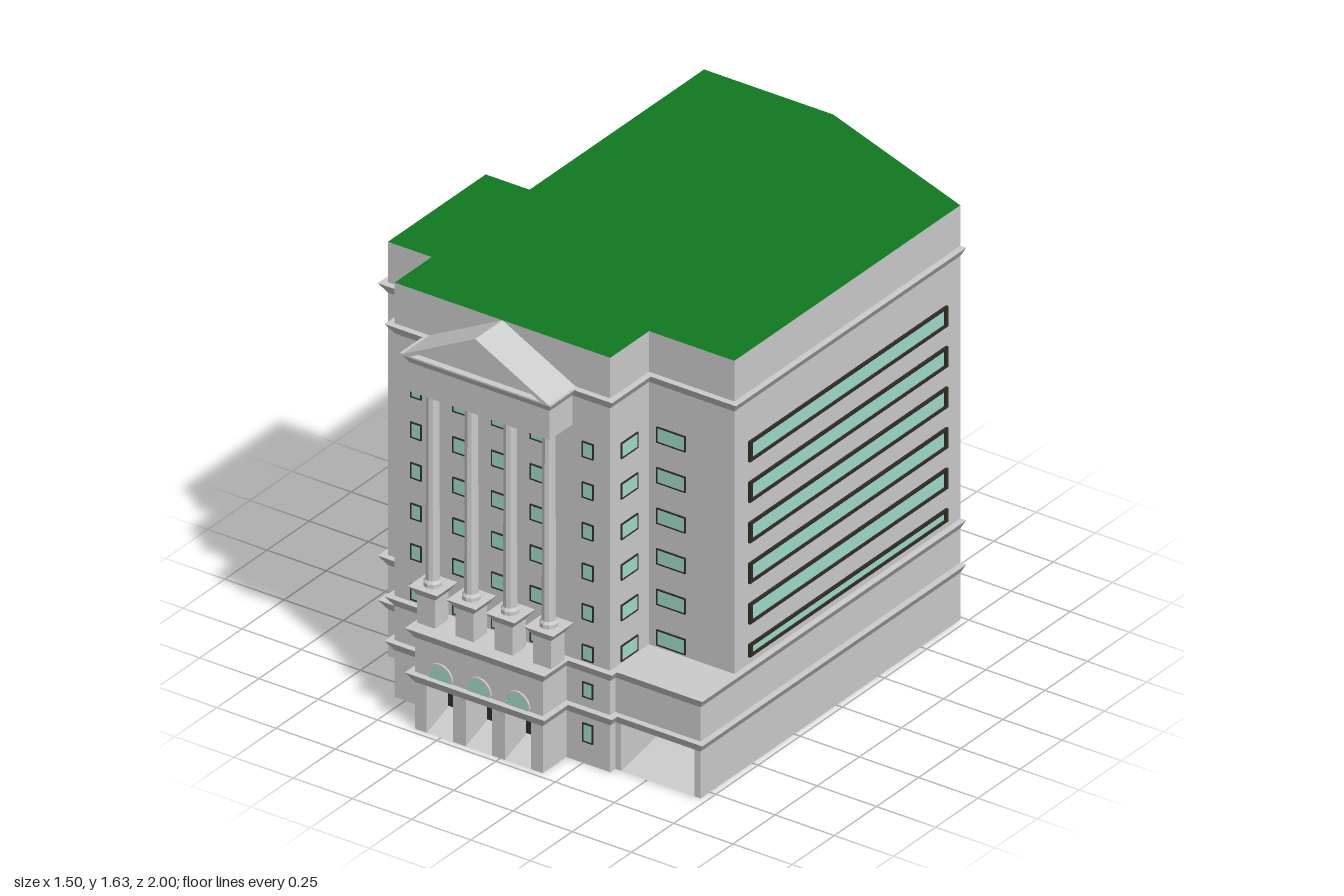
import * as THREE from 'three';

const material = (color) => new THREE.MeshStandardMaterial({ color, flatShading: true, side: THREE.DoubleSide });
const GREY = material(0xcccccc), GLASS = material(0x9fdccb), DARK = material(0x302c24), GREEN = material(0x107a1f);

// Footprints as [x, z], running from the back right corner round the front to the back left
const LEFT = [[-0.545, 0.835], [-0.545, 0.615], [-0.73, 0.615], [-0.73, 0.035], [-0.545, 0.035], [-0.545, -1]];
const BACK = [[0, -1], [0.725, -0.735]];
const UPPER = [[0.725, -0.735], [0.725, 0.605], [0.365, 0.605], [0.365, 0.835], ...LEFT];
const BASE = [[0.725, -0.735], [0.725, 0.805], [0.365, 0.805], [0.365, 0.835],
  [0.18, 0.835], [0.18, 0.975], [-0.36, 0.975], [-0.36, 0.835], ...LEFT];
const GROUND_LEFT = [[0.39, 0.805], [0.365, 0.805], [0.365, 0.835], ...LEFT, ...BACK];
const GROUND_RIGHT = [[0.725, -0.735], [0.725, 0.805], [0.7, 0.805]];

const MID_X = -0.09;
const BAYS = [-0.253, -0.09, 0.073];
const COLUMNS = [-0.335, -0.172, -0.008, 0.155];
const ROWS = [0.44, 0.6, 0.76, 0.92, 1.08, 1.24];

function add(parent, name, geometry, mat = GREY, x = 0, y = 0, z = 0) {
  const mesh = new THREE.Mesh(geometry, mat);
  mesh.name = name;
  mesh.position.set(x, y, z);
  parent.add(mesh);
  return mesh;
}

function box(parent, name, x0, x1, y0, y1, z0, z1, mat) {
  return add(parent, name, new THREE.BoxGeometry(x1 - x0, y1 - y0, z1 - z0), mat,
    (x0 + x1) / 2, (y0 + y1) / 2, (z0 + z1) / 2);
}

// Push a path outwards with mitred corners
function offset(path, d) {
  const normal = (a, b) => {
    const l = Math.hypot(b[0] - a[0], b[1] - a[1]);
    return [(b[1] - a[1]) / l, (a[0] - b[0]) / l];
  };
  return path.map((p, i) => {
    const n1 = i > 0 ? normal(path[i - 1], p) : normal(p, path[1]);
    const n2 = i < path.length - 1 ? normal(p, path[i + 1]) : n1;
    const k = d / (1 + n1[0] * n2[0] + n1[1] * n2[1]);
    return [p[0] + (n1[0] + n2[0]) * k, p[1] + (n1[1] + n2[1]) * k];
  });
}

// Strip along a path between two heights, each with its own outward offset
function band(path, y0, y1, d0 = 0, d1 = 0) {
  const low = offset(path, d0), high = offset(path, d1), pos = [];
  for (let i = 0; i < path.length - 1; i++) {
    const a = [low[i][0], y0, low[i][1]], b = [low[i + 1][0], y0, low[i + 1][1]];
    const c = [high[i + 1][0], y1, high[i + 1][1]], d = [high[i][0], y1, high[i][1]];
    pos.push(...a, ...c, ...b, ...a, ...d, ...c);
  }
  const g = new THREE.BufferGeometry();
  g.setAttribute('position', new THREE.Float32BufferAttribute(pos, 3));
  g.computeVertexNormals();
  return g;
}

function cornice(parent, path, y) {
  add(parent, 'corniceSlope', band(path, y, y + 0.04, 0, 0.025));
  add(parent, 'corniceTop', band(path, y + 0.04, y + 0.04, 0.025, 0));
}

// Flat horizontal sheet from a footprint, facing up
function sheet(points, y) {
  const shape = new THREE.Shape(points.map(([x, z]) => new THREE.Vector2(x, -z)));
  return new THREE.ShapeGeometry(shape).rotateX(-Math.PI / 2).translate(0, y, 0);
}

// Block whose footprint grows from bottom to top
function flare(w0, d0, w1, d1, h) {
  const g = new THREE.BoxGeometry(1, h, 1), p = g.attributes.position;
  for (let i = 0; i < p.count; i++) {
    const top = p.getY(i) > 0;
    p.setX(i, p.getX(i) * (top ? w1 : w0));
    p.setZ(i, p.getZ(i) * (top ? d1 : d0));
  }
  g.computeVertexNormals();
  return g;
}

function rect(target, w, h) {
  return target.setFromPoints([[-w, -h], [w, -h], [w, h], [-w, h]].map(([x, y]) => new THREE.Vector2(x / 2, y / 2)));
}

// Dark frame with a glass pane, turned about y to suit its wall
function makeWindow(parent, w, h, x, y, z, turn = 0, fx = 0.004, fy = 0.004, depth = 0.006) {
  const g = new THREE.Group();
  g.name = 'window';
  const shape = rect(new THREE.Shape(), w, h);
  shape.holes.push(rect(new THREE.Path(), w - 2 * fx, h - 2 * fy));
  add(g, 'windowFrame', new THREE.ExtrudeGeometry(shape, { depth: 2 * depth, bevelEnabled: false }), DARK, 0, 0, -depth);
  add(g, 'windowGlass', new THREE.BoxGeometry(w - 2 * fx, h - 2 * fy, 0.006), GLASS);
  g.position.set(x, y, z);
  g.rotation.y = turn;
  parent.add(g);
}

function buildWalls(root) {
  add(root, 'upperWalls', band([...UPPER, ...BACK], 0.4, 1.635));
  add(root, 'baseWalls', band([...BASE, ...BACK], 0.185, 0.4));
  add(root, 'groundWallLeft', band(GROUND_LEFT, 0, 0.185));
  add(root, 'groundWallRight', band(GROUND_RIGHT, 0, 0.185));
  add(root, 'roof', sheet([...UPPER, [0, -1]], 1.635), GREEN);
  add(root, 'terrace', sheet([[0.725, 0.605], [0.725, 0.805], [0.365, 0.805], [0.365, 0.605]], 0.4));
  cornice(root, UPPER, 1.435);
  cornice(root, BASE, 0.36);
  cornice(root, BASE, 0.185);
  // Ramp rising into the building behind the corner opening
  const ramp = sheet([[0.39, 0.805], [0.725, 0.805], [0.725, -0.6], [0.39, -0.6]], 0);
  const p = ramp.attributes.position;
  for (let i = 0; i < p.count; i++) p.setY(i, (0.805 - p.getZ(i)) * 0.18);
  ramp.computeVertexNormals();
  add(root, 'ramp', ramp);
  add(root, 'rampSideWall', band([[0.39, -0.6], [0.39, 0.805]], 0, 0.25));
}

function buildWindows(root) {
  const side = Math.PI / 2;
  ROWS.forEach((y, i) => {
    for (const x of BAYS) makeWindow(root, 0.09, 0.062, x, y, 0.835);
    for (const x of [-0.453, 0.272]) makeWindow(root, 0.047, 0.062, x, y, 0.835);
    makeWindow(root, 0.122, 0.062, 0.46, y, 0.605);
    makeWindow(root, 0.1, 0.062, 0.365, y, 0.725, side);
    makeWindow(root, 0.1, 0.062, -0.545, y, 0.725, -side);
    // Long strips on both flanks, the lowest one shallower
    const h = i ? 0.08 : 0.05, sy = i ? y : 0.455;
    makeWindow(root, 1.175, h, 0.725, sy, -0.063, side, 0.016, 0.01, 0.01);
    makeWindow(root, 0.91, h, -0.545, sy, -0.475, -side, 0.016, 0.01, 0.01);
  });
  makeWindow(root, 0.045, 0.06, 0.272, 0.293, 0.835);
  makeWindow(root, 0.045, 0.074, 0.272, 0.124, 0.835);
  box(root, 'sideDoor', -0.551, -0.539, 0, 0.15, 0.66, 0.8, DARK);
}

function buildPorch(root) {
  const porch = new THREE.Group();
  porch.name = 'porch';
  root.add(porch);
  const soffit = [[0.18, 0.835], [0.18, 0.975], [-0.36, 0.975], [-0.36, 0.835]];
  add(porch, 'porchCeiling', sheet(soffit, 0.187));
  add(porch, 'porchTop', sheet(soffit, 0.4));
  for (const [a, b] of [[-0.36, -0.31], [-0.2, -0.145], [-0.035, 0.02], [0.13, 0.18]])
    box(porch, 'pier', a, b, 0, 0.187, 0.835, 0.975);
  for (const x of BAYS) {
    box(porch, 'door', x - 0.056, x + 0.056, 0.05, 0.185, 0.83, 0.85, DARK);
    // Sloping approach up to the door
    const slope = new THREE.Shape([[0, 0], [0.14, 0], [0, 0.05]].map(([u, v]) => new THREE.Vector2(u, v)));
    const wedge = new THREE.ExtrudeGeometry(slope, { depth: 0.112, bevelEnabled: false }).rotateY(-Math.PI / 2);
    add(porch, 'approach', wedge, GREY, x + 0.056, 0, 0.835);
    // Fanlight with a raised rim
    add(porch, 'fanlight', new THREE.CircleGeometry(0.047, 16, 0, Math.PI), GLASS, x, 0.236, 0.978);
    const rim = new THREE.Shape().absarc(0, 0, 0.055, 0, Math.PI).absarc(0, 0, 0.045, Math.PI, 0, true);
    add(porch, 'fanlightRim', new THREE.ExtrudeGeometry(rim, { depth: 0.008, bevelEnabled: false, curveSegments: 12 }),
      GREY, x, 0.236, 0.974);
    box(porch, 'fanlightSill', x - 0.047, x + 0.047, 0.225, 0.236, 0.974, 0.978, GLASS);
  }
  for (const x of COLUMNS) {
    box(porch, 'pedestal', x - 0.038, x + 0.038, 0.4, 0.512, 0.864, 0.944);
    add(porch, 'pedestalCap', flare(0.076, 0.08, 0.124, 0.122, 0.034), GREY, x, 0.528, 0.904);
    const shaft = [[0.034, 0.545], [0.034, 0.56], [0.026, 0.57], [0.024, 1.295], [0.034, 1.308], [0.034, 1.322]];
    add(porch, 'column', new THREE.LatheGeometry(shaft.map(([r, y]) => new THREE.Vector2(r, y)), 10), GREY, x, 0, 0.904);
  }
  // Entablature and pediment
  const beam = [[0.205, 0.83], [0.205, 0.97], [-0.385, 0.97], [-0.385, 0.83]];
  box(porch, 'entablature', -0.385, 0.205, 1.32, 1.475, 0.83, 0.97);
  cornice(porch, beam, 1.435);
  const tri = (target, w, y0, y1) => target.setFromPoints(
    [[-w, y0], [w, y0], [0, y1]].map(([x, y]) => new THREE.Vector2(x, y)));
  const gable = tri(new THREE.Shape(), 0.318, 1.47, 1.635);
  gable.holes.push(tri(new THREE.Path(), 0.275, 1.476, 1.616));
  add(porch, 'pediment', new THREE.ExtrudeGeometry(gable, { depth: 0.167, bevelEnabled: false }), GREY, MID_X, 0, 0.83);
  add(porch, 'pedimentPanel', new THREE.ShapeGeometry(tri(new THREE.Shape(), 0.285, 1.475, 1.62)), GREY, MID_X, 0, 0.97);
}

export function createModel() {
  const root = new THREE.Group();
  root.name = 'building';
  buildWalls(root);
  buildWindows(root);
  buildPorch(root);
  return root;
}
